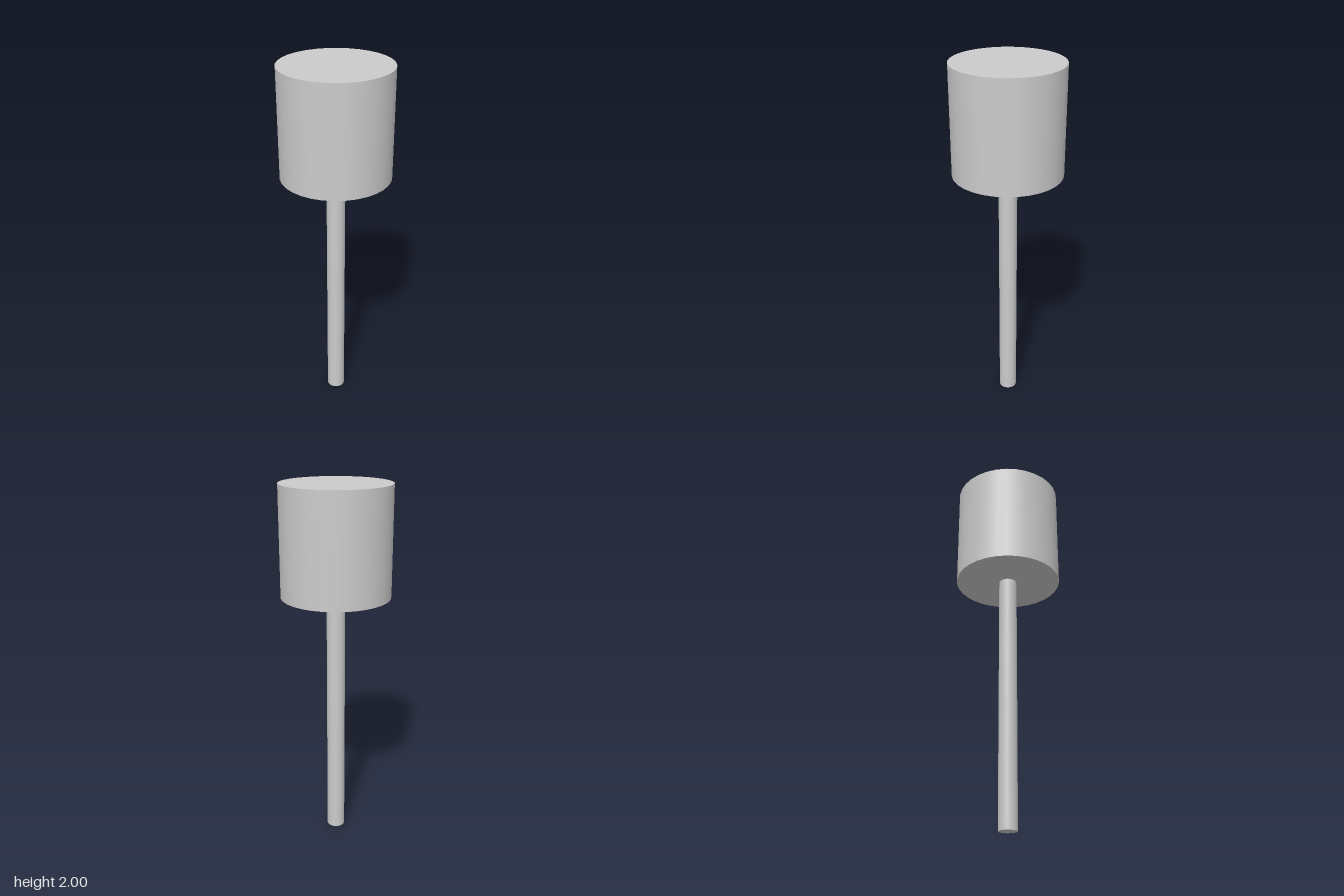
import * as THREE from 'three';

const SIDES = 32;

// Upright capped cylinder spanning bottom..top
function upright(name, radius, bottom, top, material) {
  const geometry = new THREE.CylinderGeometry(radius, radius, top - bottom, SIDES);
  const mesh = new THREE.Mesh(geometry, material);
  mesh.name = name;
  mesh.position.y = (bottom + top) / 2;
  return mesh;
}

export function createModel() {
  const model = new THREE.Group();
  model.name = 'mallet';
  const grey = new THREE.MeshStandardMaterial({ color: 0xcccccc });

  // Slim handle standing on the ground, wide drum-shaped head on top
  model.add(
    upright('handle', 0.05, 0, 1.412, grey),
    upright('head', 0.295, 1.412, 2, grey),
  );
  return model;
}
